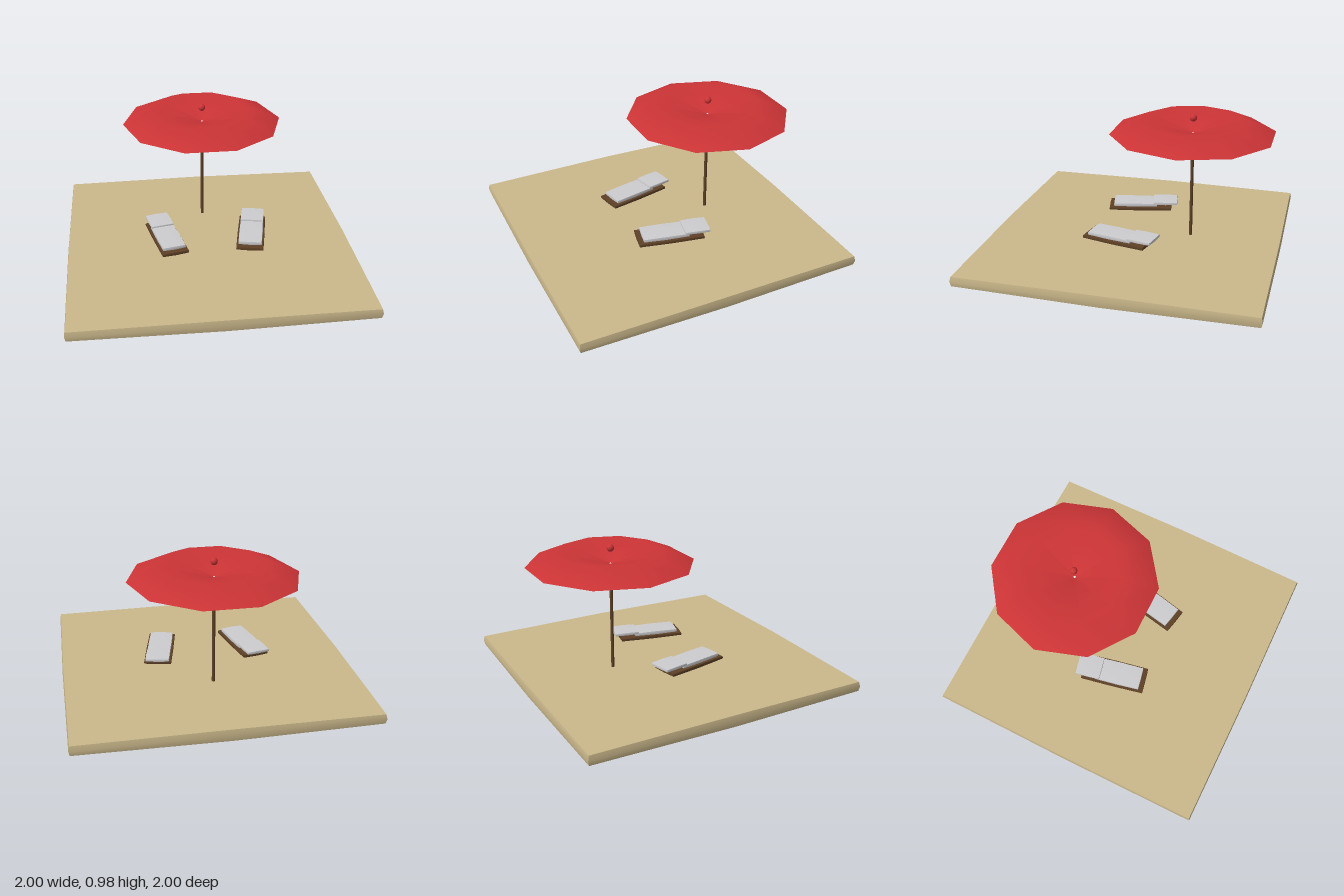
import * as THREE from 'three';

const mat = (name, color, side = THREE.FrontSide) => {
  const m = new THREE.MeshStandardMaterial({ color, side });
  m.name = name;
  return m;
};

// Box of the given outer size whose corners and edges are pulled in slightly, so its faces bulge
function softBox(w, h, d, inset) {
  const g = new THREE.BoxGeometry(w, h, d, 2, 2, 2);
  const p = g.attributes.position;
  const size = [w, h, d];
  for (let i = 0; i < p.count; i++) {
    const c = [p.getX(i), p.getY(i), p.getZ(i)];
    const extremes = c.filter((v) => Math.abs(v) > 1e-6).length;
    const pull = inset * Math.max(0, extremes - 1) / 2;
    p.setXYZ(i, ...c.map((v, k) => v - Math.sign(v) * Math.min(pull, size[k] * 0.25)));
  }
  g.computeVertexNormals();
  return g;
}

export function createModel() {
  const model = new THREE.Group();
  const sand = mat('sand', 0xcbb88b);
  const red = mat('canopy red', 0xcc3436, THREE.DoubleSide);
  const wood = mat('dark wood', 0x5e4126);
  const cloth = mat('light grey cloth', 0xcdcdd0);
  const white = mat('white', 0xffffff);

  const add = (parent, name, geometry, material, x, y, z) => {
    const mesh = new THREE.Mesh(geometry, material);
    mesh.name = name;
    mesh.position.set(x, y, z);
    parent.add(mesh);
    return mesh;
  };

  // Slab of beach
  add(model, 'sandSlab', softBox(2, 0.095, 2, 0.014), sand, 0, 0.0475, 0);

  // Parasol: pole, collar, ten-sided canopy with a sunken centre, and finial
  const parasol = new THREE.Group();
  parasol.name = 'parasol';
  parasol.position.z = -0.37;
  model.add(parasol);
  add(parasol, 'pole', new THREE.CylinderGeometry(0.011, 0.011, 0.738, 10), wood, 0, 0.459, 0);
  add(parasol, 'collar', new THREE.CylinderGeometry(0.009, 0.009, 0.017, 10), white, 0, 0.8365, 0);
  const profile = [[0.565, 0.844], [0.35, 0.935], [0.008, 0.845]].map(([r, y]) => new THREE.Vector2(r, y));
  add(parasol, 'canopy', new THREE.LatheGeometry(profile, 10, Math.PI / 2), red, 0, 0, 0);
  add(parasol, 'finial', new THREE.SphereGeometry(0.025, 12, 8), red, 0, 0.95, 0);

  // Two loungers, fanned outwards towards the back
  for (const side of [-1, 1]) {
    const lounger = new THREE.Group();
    lounger.name = side > 0 ? 'leftLounger' : 'rightLounger';
    lounger.position.set(side * 0.302, 0, 0.07);
    lounger.rotation.y = -side * 0.208;
    model.add(lounger);
    add(lounger, 'frame', softBox(0.192, 0.026, 0.46, 0.004), wood, 0, 0.152, 0);
    add(lounger, 'seatCushion', softBox(0.166, 0.028, 0.323, 0.004), cloth, 0, 0.178, 0.0355);
    add(lounger, 'backCushion', softBox(0.166, 0.024, 0.18, 0.004), cloth, 0, 0.191, -0.184);
  }
  return model;
}
